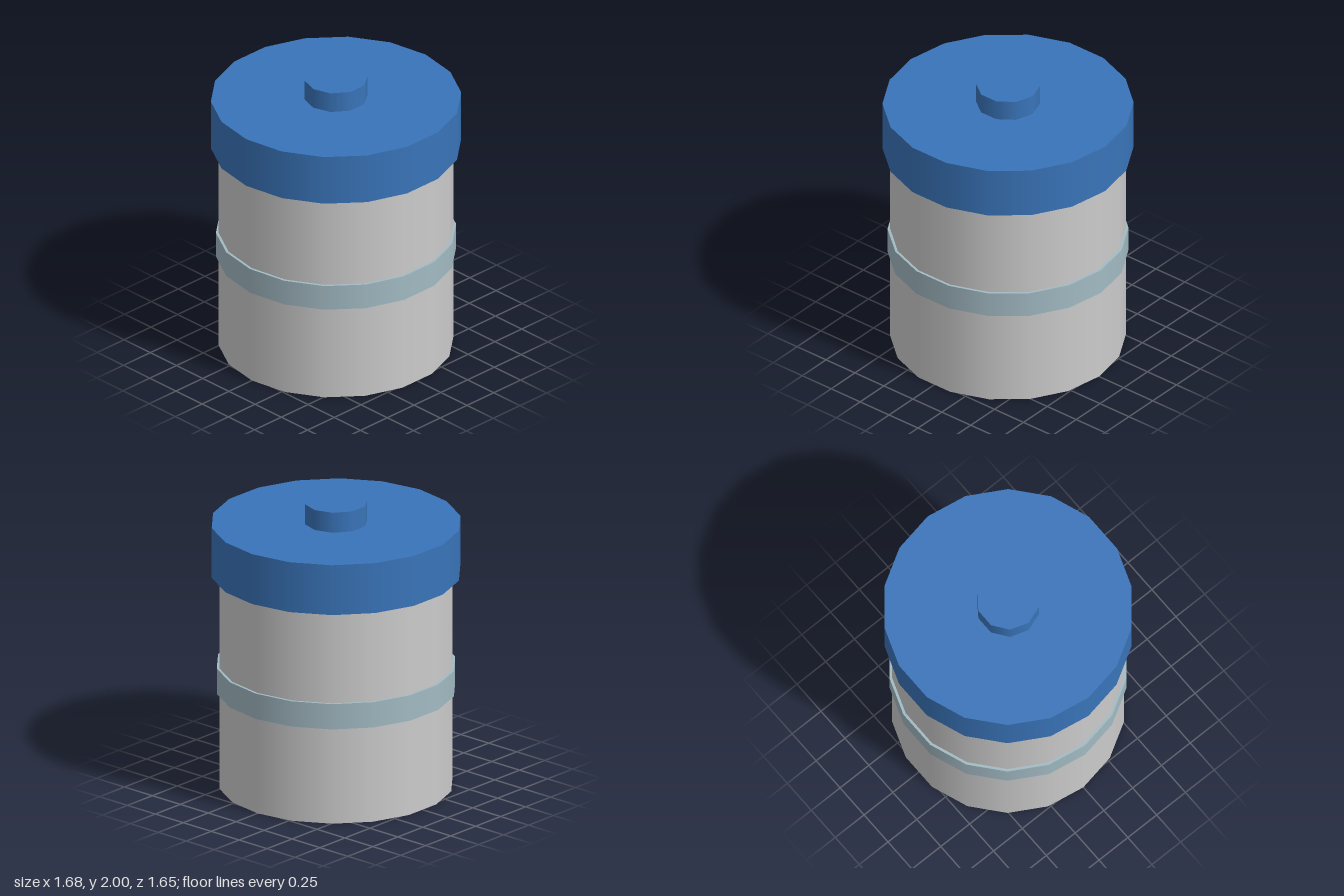
import * as THREE from 'three';

export function createModel() {
  const group = new THREE.Group();
  const grey = new THREE.MeshStandardMaterial({ color: 0xcccccc });
  const blue = new THREE.MeshStandardMaterial({ color: 0x3974b9 });
  const paleBlue = new THREE.MeshStandardMaterial({ color: 0xa2bac3 });

  // Upright capped drum from y0 to y1, with a corner on the x axis
  function drum(name, radius, y0, y1, sides, material) {
    const geometry = new THREE.CylinderGeometry(radius, radius, y1 - y0, sides, 1, false, Math.PI / 2);
    const mesh = new THREE.Mesh(geometry, material);
    mesh.name = name;
    mesh.position.y = (y0 + y1) / 2;
    group.add(mesh);
  }

  drum('body', 0.786, 0, 1.51, 18, grey);
  drum('band', 0.804, 0.677, 0.857, 18, paleBlue);
  drum('lid', 0.838, 1.503, 1.858, 18, blue);
  drum('knob', 0.213, 1.85, 2, 10, blue);

  return group;
}
